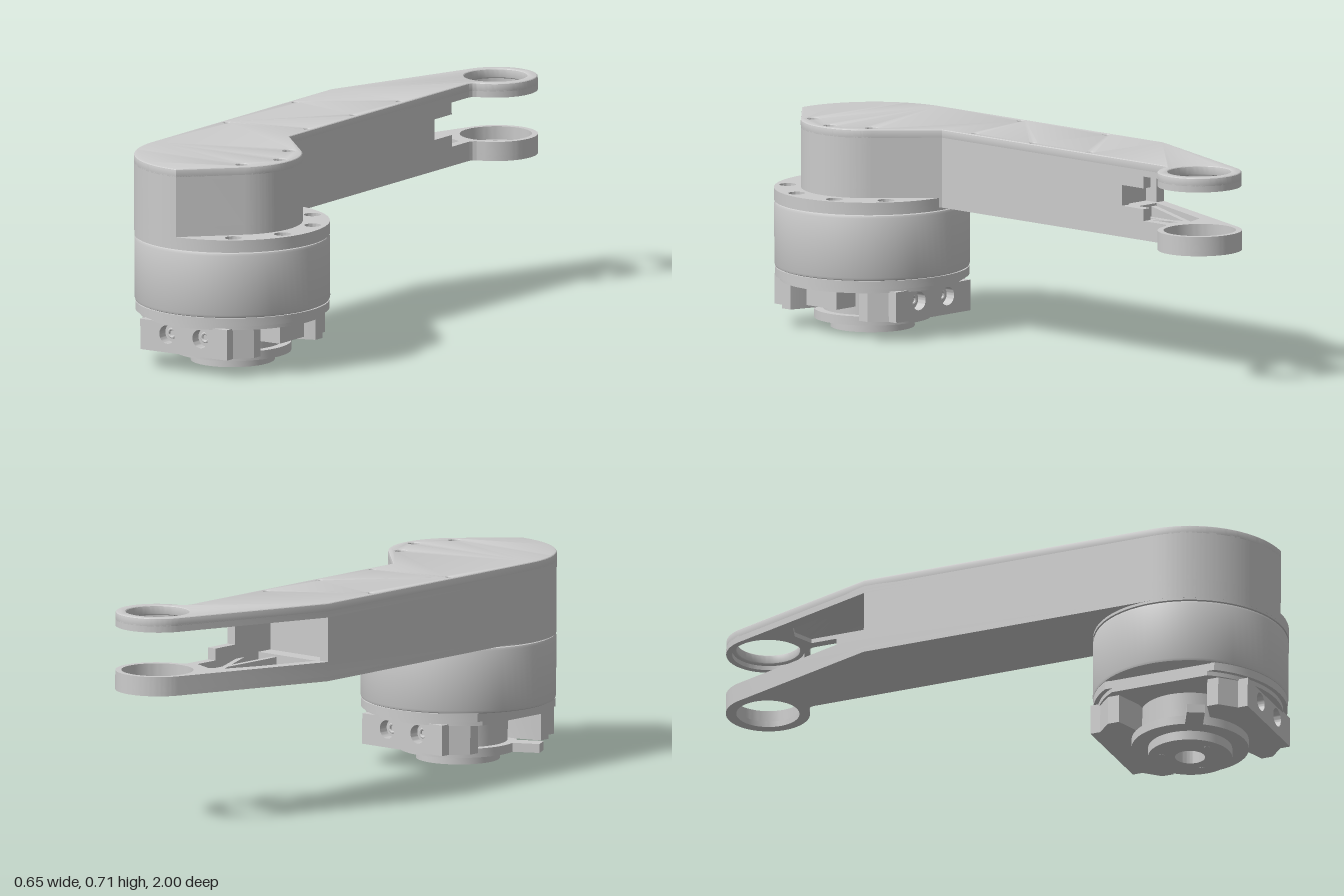
import * as THREE from 'three';
import { toCreasedNormals } from 'three/addons/utils/BufferGeometryUtils.js';

const HUB_Z = 0.675, RING_Z = -0.86;
const material = new THREE.MeshStandardMaterial({ color: 0xcccccc, side: THREE.DoubleSide });

function add(parent, name, geometry) {
  const mesh = new THREE.Mesh(toCreasedNormals(geometry, 0.5), material);
  mesh.name = name;
  parent.add(mesh);
  return mesh;
}

// Plan shapes use (x, -z); slabs stand between heights y0 and y1
function slab(shape, y0, y1, bevel = 0) {
  const geometry = new THREE.ExtrudeGeometry(shape, {
    depth: y1 - y0 - 2 * bevel, curveSegments: 40,
    bevelEnabled: bevel > 0, bevelSize: bevel, bevelThickness: bevel,
    bevelOffset: -bevel, bevelSegments: 3,
  });
  return geometry.rotateX(-Math.PI / 2).translate(0, y0 + bevel, 0);
}

function circle(x, z, r) {
  return new THREE.Path().absarc(x, -z, r, 0, Math.PI * 2, false);
}

function polygon(points) {
  return new THREE.Shape(points.map(([x, y]) => new THREE.Vector2(x, y)));
}

// Arm plan: rounded base with a lobe, straight beam, and either a ring or an open fork end
function armShape(end) {
  const s = new THREE.Shape();
  s.moveTo(-0.325, 0.37);
  s.lineTo(-0.325, -HUB_Z);
  s.absarc(0, -HUB_Z, 0.325, Math.PI, 1.5 * Math.PI, false);
  s.lineTo(0.166, -HUB_Z - 0.166);
  s.absarc(0, -HUB_Z, 0.235, -Math.PI / 4, Math.PI / 4, false);
  s.lineTo(0.003, -HUB_Z + 0.332);
  if (end === 'ring') {
    s.lineTo(0.003, 0.69);
    s.quadraticCurveTo(0.003, 0.718, 0.03, 0.723);
    s.absarc(0, -RING_Z, 0.14, -1.35, 2.8, false);
  } else {
    s.lineTo(0.003, 0.5);
    s.lineTo(-0.03, 0.5);
    s.lineTo(-0.03, 0.32);
    s.lineTo(-0.29, 0.32);
    s.lineTo(-0.29, 0.37);
  }
  s.closePath();
  return s;
}

function cylinder(r, y0, y1, x, z) {
  return new THREE.CylinderGeometry(r, r, y1 - y0, 24).translate(x, (y0 + y1) / 2, z);
}

function box(x0, x1, y0, y1, z0, z1) {
  return new THREE.BoxGeometry(x1 - x0, y1 - y0, z1 - z0)
    .translate((x0 + x1) / 2, (y0 + y1) / 2, (z0 + z1) / 2);
}

function buildArm() {
  const arm = new THREE.Group();
  arm.name = 'arm';
  const lobeScrews = [[0.136, HUB_Z - 0.136], [0.195, HUB_Z], [0.136, HUB_Z + 0.136]];
  const coverHoles = [[-0.02, -0.33], [-0.02, -0.06], [-0.02, 0.21], [-0.3, -0.125], [-0.3, 0.275]];

  // Top skin with screw holes
  const top = armShape('ring');
  top.holes.push(circle(0, RING_Z, 0.105));
  for (const [x, z] of coverHoles) top.holes.push(circle(x, z, 0.01));
  for (const [x, z] of lobeScrews) {
    top.holes.push(circle(x, z, 0.02));
    add(arm, 'lobeScrew', cylinder(0.014, 0.67, 0.682, x, z));
  }
  add(arm, 'topPlate', slab(top, 0.665, 0.6985, 0.006));

  // Pocketed inner layers of the two fork plates
  const pocketPoints = [[-0.28, 0.38], [-0.03, 0.38], [-0.03, 0.69], [-0.1, 0.72], [-0.16, 0.7]];
  for (const [name, y0, y1] of [['upperForkRim', 0.65, 0.675], ['lowerForkRim', 0.45, 0.5]]) {
    const rim = armShape('ring');
    rim.holes.push(circle(0, RING_Z, 0.12), polygon(pocketPoints));
    add(arm, name, slab(rim, y0, y1));
  }
  const floor = armShape('ring');
  floor.holes.push(circle(0, RING_Z, 0.105));
  add(arm, 'bottomPlate', slab(floor, 0.435, 0.455));

  // Beam walls between the plates
  add(arm, 'beamBody', slab(armShape('fork'), 0.49, 0.66));

  // Short wall steps beside the fork opening
  add(arm, 'lowerWallStep', box(-0.03, 0.003, 0.49, 0.54, -0.6, -0.49));
  add(arm, 'upperWallStep', box(-0.03, 0.003, 0.61, 0.66, -0.6, -0.49));

  // Stiffening ribs in the lower pocket
  for (const [xa, za, xb, zb] of [[-0.1, -0.73, -0.27, -0.37], [-0.1, -0.73, -0.1, -0.37], [-0.13, -0.7, -0.02, -0.45]]) {
    const rib = new THREE.BoxGeometry(0.018, 0.04, Math.hypot(xb - xa, zb - za));
    rib.rotateY(Math.atan2(xb - xa, zb - za)).translate((xa + xb) / 2, 0.472, (za + zb) / 2);
    add(arm, 'rib', rib);
  }
  return arm;
}

// Clamp block with two screw holes in its flat outer face
function buildClamp() {
  const clamp = new THREE.Group();
  const plan = polygon([[-0.225, -0.16], [-0.225, -0.2], [-0.175, -0.25], [0.175, -0.25],
    [0.225, -0.2], [0.225, -0.16], [0.13, -0.13], [-0.13, -0.13]]);
  add(clamp, 'clampBlock', slab(plan, 0.062, 0.165));
  const face = polygon([[-0.175, 0.062], [0.175, 0.062], [0.175, 0.165], [-0.175, 0.165]]);
  for (const x of [-0.067, 0.067]) {
    face.holes.push(new THREE.Path().absarc(x, 0.123, 0.031, 0, Math.PI * 2, false));
    add(clamp, 'clampScrew', new THREE.TorusGeometry(0.014, 0.005, 8, 24).translate(x, 0.123, 0.254));
  }
  add(clamp, 'clampFace', new THREE.ExtrudeGeometry(face, { depth: 0.035, bevelEnabled: false, curveSegments: 24 })
    .translate(0, 0, 0.25));
  return clamp;
}

function buildJoint() {
  const joint = new THREE.Group();
  joint.name = 'joint';
  joint.position.z = HUB_Z;

  // Motor drum with rounded rims
  const r = 0.325, b = 0.012;
  const drum = [[0, 0.202], [r - b, 0.202], [r - 0.003, 0.206], [r, 0.202 + b],
    [r, 0.426 - b], [r - 0.003, 0.422], [r - b, 0.426], [0, 0.426]];
  add(joint, 'drum', new THREE.LatheGeometry(drum.map(([x, y]) => new THREE.Vector2(x, y)), 80));

  // Mounting flange with counterbored screws
  const flange = new THREE.Shape().absarc(0, 0, r, 0, Math.PI * 2, false);
  for (const [x, z] of [[0.165, 0.23], [0.265, 0.088]]) {
    for (const side of [-1, 1]) {
      flange.holes.push(circle(x, z * side, 0.028));
      add(joint, 'flangeScrew', cylinder(0.014, 0.425, 0.445, x, z * side));
    }
  }
  add(joint, 'flange', slab(flange, 0.426, 0.468));

  // Under plates, each cut flat on the right
  for (const [radius, y0, y1] of [[0.323, 0.175, 0.203], [0.308, 0.16, 0.176]]) {
    const a = Math.acos(-0.255 / radius);
    add(joint, 'underPlate', slab(new THREE.Shape().absarc(0, 0, radius, -a, a, false), y0, y1));
  }

  // Stepped output hub with a centre bore
  const hub = [[0, 0.06], [0.05, 0.06], [0.05, 0], [0.14, 0], [0.14, 0.032],
    [0.195, 0.032], [0.195, 0.062], [0.165, 0.062], [0.165, 0.165]];
  add(joint, 'hub', new THREE.LatheGeometry(hub.map(([x, y]) => new THREE.Vector2(x, y)), 64));
  for (let i = 0; i < 3; i++) {
    const a = i * Math.PI * 2 / 3;
    add(joint, 'hubPin', cylinder(0.01, -0.001, 0.01, 0.095 * Math.cos(a), 0.095 * Math.sin(a)));
  }
  add(joint, 'stopTab', box(-0.285, -0.15, 0.032, 0.062, -0.03, 0.03).rotateY(0.48));
  add(joint, 'sideBlock', box(0.12, 0.24, 0.09, 0.165, -0.07, 0.07));

  // Front and back clamps
  for (const [name, turn] of [['frontClamp', 0], ['backClamp', Math.PI]]) {
    const clamp = buildClamp();
    clamp.name = name;
    clamp.rotation.y = turn;
    joint.add(clamp);
  }
  return joint;
}

export function createModel() {
  const model = new THREE.Group();
  model.name = 'robotArmLink';
  const tilted = new THREE.Group();
  tilted.name = 'link';
  tilted.add(buildArm(), buildJoint());
  // The whole link leans up very slightly towards the fork
  tilted.rotation.x = 0.0075;
  tilted.position.y = 0.006;
  model.add(tilted);
  return model;
}
